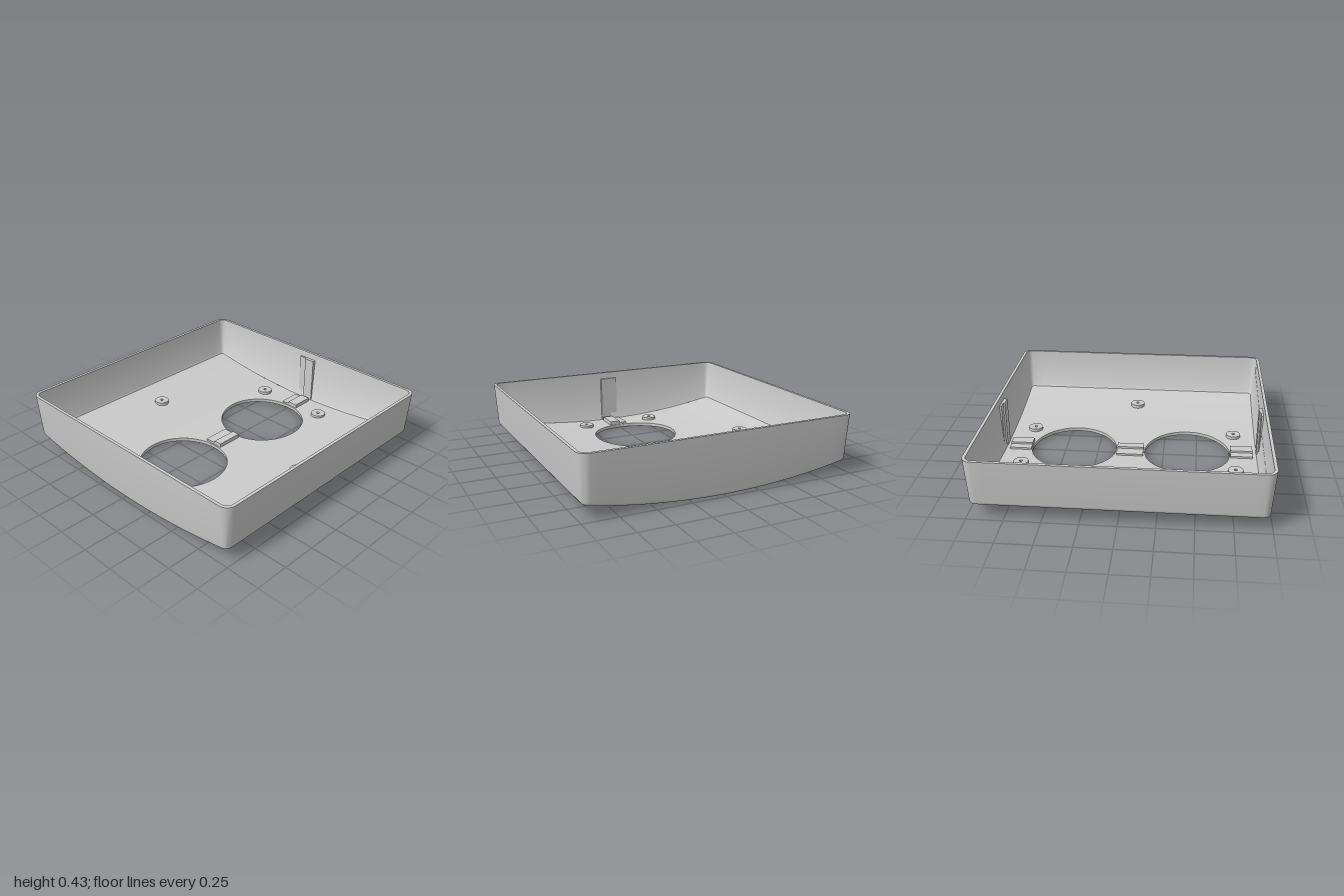
import * as THREE from 'three';
import { toCreasedNormals } from 'three/addons/utils/BufferGeometryUtils.js';

const HEIGHT = 0.43, FLOOR = 0.025, CORNER = 0.07, EDGE = 0.05;
const arc = (z) => 0.1 * z * z; // underside height, bowed from front to back
const screws = [[0, -0.715], [0, 0.715], [-0.785, -0.285], [-0.785, 0.285], [0.785, -0.285], [0.785, 0.285]];
const material = new THREE.MeshStandardMaterial({ color: 0xcccccc });

function add(group, name, geometry, x = 0, y = 0, z = 0) {
  const mesh = new THREE.Mesh(geometry, material);
  mesh.name = name;
  mesh.position.set(x, y, z);
  group.add(mesh);
}

function fromPositions(positions, crease) {
  const g = new THREE.BufferGeometry();
  g.setAttribute('position', new THREE.Float32BufferAttribute(positions, 3));
  return toCreasedNormals(g, crease);
}

// Keep the part of a polygon where side * (z - c) >= 0
function clip(poly, c, side) {
  const out = [];
  poly.forEach((a, i) => {
    const b = poly[(i + 1) % poly.length];
    const da = side * (a.z - c), db = side * (b.z - c);
    if (da >= 0) out.push(a);
    if (da * db < 0) out.push(a.clone().lerp(b, da / (da - db)));
  });
  return out;
}

// Flat plate with holes, cut into strips along z and then bowed
function floorGeometry() {
  const s = 1 - EDGE, r = CORNER - EDGE, c = s - r;
  const shape = new THREE.Shape();
  for (let k = 0; k < 4; k++) {
    const a = k * Math.PI / 2, m = a + Math.PI / 4;
    shape.absarc(c * Math.sign(Math.cos(m)), c * Math.sign(Math.sin(m)), r, a, a + Math.PI / 2, false);
  }
  shape.closePath();
  const hole = (x, y, radius) => shape.holes.push(new THREE.Path().absarc(x, y, radius, 0, Math.PI * 2, true));
  [-0.43, 0.43].forEach((x) => hole(x, 0, 0.321));
  screws.forEach(([x, z]) => hole(x, -z, 0.042));
  let flat = new THREE.ExtrudeGeometry(shape, { depth: FLOOR, bevelEnabled: false, curveSegments: 32 });
  flat.rotateX(-Math.PI / 2);
  if (flat.index) flat = flat.toNonIndexed();
  const p = flat.attributes.position, out = [], strips = 25;
  for (let i = 0; i < p.count; i += 3) {
    const tri = [0, 1, 2].map((k) => new THREE.Vector3().fromBufferAttribute(p, i + k));
    for (let n = 0; n < strips; n++) {
      const z0 = -1 + 2 * n / strips, z1 = z0 + 2 / strips;
      const poly = clip(clip(tri, z0, 1), z1, -1);
      for (let k = 1; k + 1 < poly.length; k++) {
        for (const v of [poly[0], poly[k], poly[k + 1]]) out.push(v.x, v.y + arc(v.z), v.z);
      }
    }
  }
  return fromPositions(out, 0.5);
}

// Wall section swept around a rounded square; lower points follow the bow
function wallGeometry() {
  const profile = []; // inset, height, follows the bow
  for (let i = 0; i <= 5; i++) {
    const a = i / 5 * Math.PI / 2;
    profile.push([EDGE - 0.03 * Math.sin(a), 0.025 * (1 - Math.cos(a)), 1]);
  }
  profile.push([0, HEIGHT, 0], [0.022, HEIGHT, 0], [0.042, FLOOR + 0.012, 1], [EDGE, FLOOR, 1]);

  // Contour stations: corner centre plus outward direction
  const stations = [], c = 1 - CORNER, steps = 8, sides = 24;
  for (let k = 0; k < 4; k++) {
    const a = k * Math.PI / 2, m = a + Math.PI / 4;
    const cx = c * Math.sign(Math.cos(m)), cz = c * Math.sign(Math.sin(m));
    for (let j = 0; j <= steps; j++) {
      const t = a + j / steps * Math.PI / 2;
      stations.push([cx, cz, Math.cos(t), Math.sin(t)]);
    }
    const e = a + Math.PI / 2;
    for (let j = 1; j < sides; j++) {
      const d = 2 * c * j / sides;
      stations.push([cx - Math.sin(e) * d, cz + Math.cos(e) * d, Math.cos(e), Math.sin(e)]);
    }
  }
  const point = (i, j) => {
    const [inset, h, bow] = profile[i];
    const [x, z, nx, nz] = stations[j % stations.length];
    const r = CORNER - inset, pz = z + nz * r;
    return [x + nx * r, h + bow * arc(pz), pz];
  };
  const out = [];
  for (let i = 0; i + 1 < profile.length; i++) {
    for (let j = 0; j < stations.length; j++) {
      const a = point(i, j), b = point(i + 1, j), d = point(i, j + 1), e = point(i + 1, j + 1);
      out.push(...a, ...b, ...d, ...b, ...e, ...d);
    }
  }
  return fromPositions(out, 0.6);
}

// Box given by its limits
function block(group, name, x0, x1, y0, y1, z0, z1) {
  add(group, name, new THREE.BoxGeometry(x1 - x0, y1 - y0, z1 - z0),
    (x0 + x1) / 2, (y0 + y1) / 2, (z0 + z1) / 2);
}

export function createModel() {
  const model = new THREE.Group();
  model.name = 'coverPlate';
  add(model, 'floor', floorGeometry());
  add(model, 'walls', wallGeometry());

  // Screw bosses: raised rings over the recesses in the underside
  const section = [[0.055, 0.016], [0.055, 0.045], [0.012, 0.045], [0.012, 0.018], [0.055, 0.016]]
    .map(([r, y]) => new THREE.Vector2(r, y));
  const boss = toCreasedNormals(new THREE.LatheGeometry(section, 32), 0.5);
  screws.forEach(([x, z]) => add(model, 'screwBoss', boss, x, arc(z), z));

  // Stepped bridge between the two openings
  block(model, 'centreStepLow', -0.1, 0.1, 0.012, 0.04, -0.09, -0.005);
  block(model, 'centreStepHigh', -0.1, 0.1, 0.012, 0.055, -0.005, 0.055);

  // Stepped pads and upright ribs on both side walls
  for (const s of [-1, 1]) {
    const pair = (name, a, b, ...rest) => block(model, name, Math.min(s * a, s * b), Math.max(s * a, s * b), ...rest);
    pair('sidePadLow', 0.755, 0.92, 0.012, 0.04, -0.06, 0);
    pair('sidePadHigh', 0.755, 0.92, 0.012, 0.055, 0, 0.08);
    pair('wallRibThin', 0.96, 0.974, 0.02, 0.38, -0.06, 0);
    pair('wallRibThick', 0.948, 0.974, 0.02, 0.38, 0, 0.08);
  }
  return model;
}
